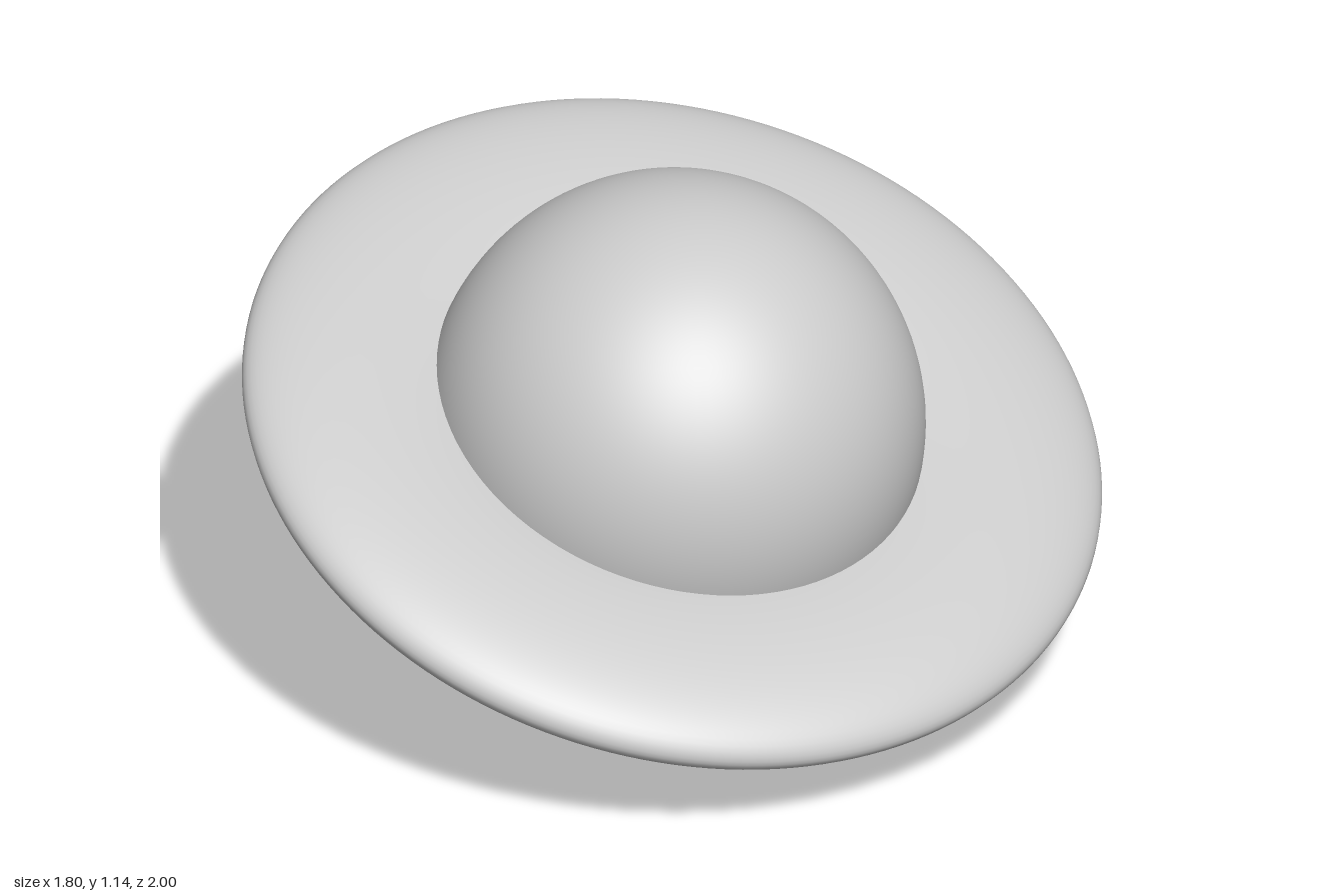
import * as THREE from 'three';

export function createModel() {
  const model = new THREE.Group();
  const material = new THREE.MeshStandardMaterial({ color: 0xcccccc });

  // Globe, slightly taller than wide
  const globe = new THREE.Mesh(new THREE.SphereGeometry(1, 96, 64), material);
  globe.name = 'planetGlobe';
  globe.scale.set(0.562, 0.572, 0.563);
  globe.position.set(0.005, 0.574, 0);
  model.add(globe);

  // Flattened, slightly oval ring, tilted down towards +x
  const ringGeometry = new THREE.TorusGeometry(0.69, 0.31, 64, 160);
  ringGeometry.rotateX(Math.PI / 2);
  ringGeometry.scale(0.97, 0.1 / 0.31, 1);
  const ring = new THREE.Mesh(ringGeometry, material);
  ring.name = 'planetRing';
  ring.rotation.z = THREE.MathUtils.degToRad(-22);
  ring.position.set(-0.002, 0.54, 0);
  model.add(ring);

  return model;
}
